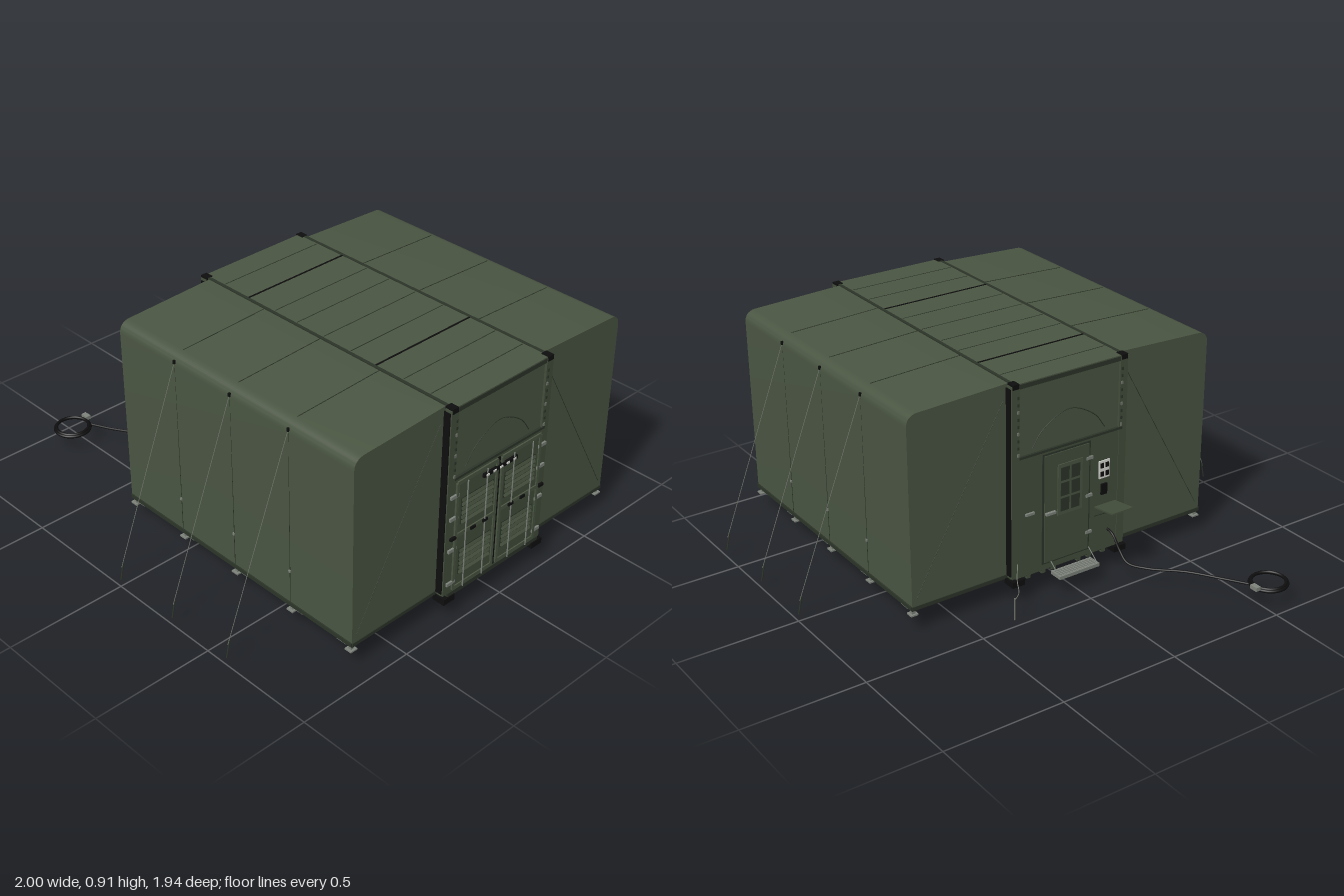
import * as THREE from 'three';
import { toCreasedNormals } from 'three/addons/utils/BufferGeometryUtils.js';

const mat = (name, color, side = THREE.FrontSide) => {
  const m = new THREE.MeshStandardMaterial({ color, side });
  m.name = name;
  return m;
};

export function createModel() {
  const root = new THREE.Group();
  root.name = 'expandableShelter';
  const green = mat('canvas green', 0x4a5542, THREE.DoubleSide);
  const panel = mat('panel green', 0x424d3b);
  const trim = mat('dark green trim', 0x2c3428);
  const under = mat('floor dark', 0x282c25);
  const black = mat('black', 0x0d0e0d);
  const grey = mat('metal grey', 0x7d827a);
  const rope = mat('rope grey', 0x6c7166);
  const white = mat('white', 0xd8dad4);

  const group = (name, parent = root) => {
    const g = new THREE.Group();
    g.name = name;
    parent.add(g);
    return g;
  };
  const add = (parent, name, geo, m) => {
    const mesh = new THREE.Mesh(geo, m);
    mesh.name = name;
    parent.add(mesh);
    return mesh;
  };
  const box = (parent, name, m, w, h, d, x, y, z) => {
    const b = add(parent, name, new THREE.BoxGeometry(w, h, d), m);
    b.position.set(x, y, z);
    return b;
  };
  const V = (x, y, z) => new THREE.Vector3(x, y, z);
  // thin rod between two points
  const rod = (parent, name, m, a, b, r = 0.0016, sides = 6) => {
    const c = add(parent, name, new THREE.CylinderGeometry(r, r, a.distanceTo(b), sides), m);
    c.position.copy(a).add(b).multiplyScalar(0.5);
    c.quaternion.setFromUnitVectors(V(0, 1, 0), b.clone().sub(a).normalize());
    return c;
  };
  const tube = (parent, name, m, pts, r, seg = 48) =>
    add(parent, name, new THREE.TubeGeometry(new THREE.CatmullRomCurve3(pts), seg, r, 8), m);

  // Central container
  const core = group('container');
  box(core, 'body', green, 0.49, 0.795, 1.27, 0, 0.5, 0.3);
  box(core, 'roof', green, 0.49, 0.012, 1.3, 0, 0.899, 0.3);
  box(core, 'floor', under, 0.5, 0.02, 1.28, 0, 0.096, 0.3);
  for (const z of [-0.1, 0.57]) box(core, 'roofSeam', black, 0.49, 0.003, 0.007, 0, 0.9055, z);
  for (const z of [-0.24, 0.04, 0.16, 0.3, 0.44, 0.7, 0.83])
    box(core, 'roofRib', trim, 0.48, 0.001, 0.003, 0, 0.9055, z);
  for (const s of [-1, 1]) {
    box(core, 'roofRail', trim, 0.012, 0.02, 1.3, s * 0.252, 0.897, 0.3);
    box(core, 'floorRail', trim, 0.03, 0.03, 1.28, s * 0.25, 0.1, 0.3);
    for (const x of [0.06, 0.11, 0.18]) box(core, 'skidBeam', panel, 0.018, 0.02, 1.28, s * x, 0.084, 0.3);
    for (const z of [0.03, 0.5]) box(core, 'liftPocket', black, 0.09, 0.012, 0.09, s * 0.22, 0.081, z);
    for (const z of [-0.338, 0.938]) {
      const out = Math.sign(z);
      box(core, 'cornerPost', panel, 0.035, 0.8, 0.03, s * 0.25, 0.5, z);
      box(core, 'postGap', black, 0.005, 0.78, 0.028, s * 0.269, 0.5, z - out * 0.004);
      box(core, 'cornerFoot', black, 0.058, 0.025, 0.055, s * 0.244, 0.082, z);
      box(core, 'topCasting', black, 0.028, 0.02, 0.036, s * 0.25, 0.898, z);
      for (let i = 0; i < 9; i++)
        box(core, 'lashingRing', i % 3 ? trim : rope, 0.008, 0.012, 0.006, s * 0.24, 0.62 + i * 0.029, z + out * 0.016);
    }
  }
  for (let i = 0; i < 11; i++) box(core, 'floorCrossBeam', trim, 0.48, 0.008, 0.014, 0, 0.084, -0.27 + i * 0.115);

  // Expanded side wings
  const profile = new THREE.Shape();
  profile.moveTo(0.245, 0.1);
  profile.lineTo(0.69, 0.1);
  profile.lineTo(0.693, 0.84);
  profile.quadraticCurveTo(0.692, 0.882, 0.65, 0.887);
  profile.lineTo(0.245, 0.903);
  const wingGeo = toCreasedNormals(new THREE.ExtrudeGeometry(profile, { depth: 1.23, bevelEnabled: false, curveSegments: 10 }), 0.6);
  for (const s of [-1, 1]) {
    const wing = group(s > 0 ? 'leftWing' : 'rightWing');
    const shell = add(wing, 'canvasShell', wingGeo, green);
    shell.position.z = -0.315;
    if (s < 0) {
      shell.rotation.y = Math.PI;
      shell.position.z = 0.915;
    }
    box(wing, 'wingFloor', under, 0.44, 0.014, 1.23, s * 0.47, 0.096, 0.3);
    box(wing, 'bottomEdge', trim, 0.006, 0.016, 1.23, s * 0.692, 0.101, 0.3);
    for (const z of [-0.316, 0.916]) {
      box(wing, 'endEdge', trim, 0.42, 0.014, 0.005, s * 0.48, 0.101, z);
      rod(wing, 'diagonalSeam', trim, V(s * 0.28, 0.84, z), V(s * 0.67, 0.14, z), 0.0011);
    }
    // strap lines, guy ropes and stakes
    for (const z of [0, 0.3, 0.6]) {
      rod(wing, 'roofStrap', trim, V(s * 0.26, 0.903, z), V(s * 0.65, 0.8875, z), 0.0016);
      rod(wing, 'wallStrap', trim, V(s * 0.692, 0.84, z), V(s * 0.691, 0.11, z), 0.0012);
      box(wing, 'ropeRing', black, 0.008, 0.014, 0.008, s * 0.694, 0.855, z);
      box(wing, 'wallEyelet', grey, 0.006, 0.01, 0.008, s * 0.693, 0.25, z);
      rod(wing, 'guyRope', rope, V(s * 0.693, 0.855, z), V(s * 0.99, 0.085, z), 0.0014);
      rod(wing, 'stake', trim, V(s * 0.982, 0.1, z), V(s * 0.997, 0.03, z), 0.003);
    }
    // support jacks under the outer edge
    for (const z of [-0.3, 0, 0.3, 0.6, 0.9]) {
      box(wing, 'jackPost', grey, 0.014, 0.03, 0.014, s * 0.68, 0.085, z);
      box(wing, 'jackPad', grey, 0.032, 0.006, 0.032, s * 0.68, 0.07, z);
      box(wing, 'edgeBracket', grey, 0.012, 0.012, 0.045, s * 0.685, 0.092, z > 0.8 ? z - 0.04 : z + 0.04);
    }
    for (let i = 0; i < 7; i++) {
      box(wing, 'floorSeam', black, 0.43, 0.002, 0.004, s * 0.47, 0.0885, -0.22 + i * 0.175);
      box(wing, 'floorLatch', black, 0.035, 0.003, 0.022, s * (i % 2 ? 0.38 : 0.56), 0.088, -0.2 + i * 0.17);
    }
  }

  // Upper canvas panels on both ends
  for (const [z, out] of [[0.939, 1], [-0.339, -1]]) {
    const end = group(out > 0 ? 'frontUpperPanel' : 'backUpperPanel');
    box(end, 'canvas', green, 0.465, 0.29, 0.008, 0, 0.745, z);
    box(end, 'headRail', trim, 0.47, 0.018, 0.025, 0, 0.892, z);
    box(end, 'sillRail', trim, 0.5, 0.01, 0.028, 0, 0.603, z);
    const zf = z + out * 0.004;
    tube(end, 'canvasFold', trim, [V(-0.17, 0.625, zf), V(-0.12, 0.69, zf), V(0, 0.745, zf), V(0.12, 0.69, zf), V(0.17, 0.625, zf)], 0.0018, 24);
  }

  // Front cargo doors
  const doors = group('frontDoors');
  box(doors, 'doorBacking', panel, 0.5, 0.51, 0.02, 0, 0.35, 0.942);
  box(doors, 'doorGap', black, 0.012, 0.48, 0.004, 0, 0.35, 0.954);
  box(doors, 'sill', trim, 0.5, 0.018, 0.026, 0, 0.1, 0.948);
  box(doors, 'lampBar', black, 0.18, 0.016, 0.012, 0, 0.555, 0.96);
  for (let i = 0; i < 5; i++) box(doors, 'lamp', white, 0.015, 0.008, 0.004, -0.072 + i * 0.036, 0.555, 0.967);
  for (const s of [-1, 1]) {
    const door = group(s > 0 ? 'leftDoor' : 'rightDoor', doors);
    box(door, 'leaf', panel, 0.215, 0.47, 0.008, s * 0.118, 0.35, 0.953);
    for (const y of [0.12, 0.355, 0.585]) box(door, 'crossRail', green, 0.21, 0.016, 0.006, s * 0.118, y, 0.959);
    for (const x of [0.014, 0.222]) box(door, 'sideRail', green, 0.012, 0.47, 0.006, s * x, 0.35, 0.959);
    for (const y of [0.455, 0.23]) {
      box(door, 'ventOpening', trim, 0.17, 0.115, 0.004, s * 0.115, y, 0.958);
      for (let i = 0; i < 6; i++) {
        const slat = box(door, 'ventSlat', i % 2 ? panel : green, 0.165, 0.013, 0.004, s * 0.115, y - 0.047 + i * 0.019, 0.961);
        slat.rotation.x = -0.5;
      }
    }
    for (const x of [0.072, 0.175]) rod(door, 'lockRod', grey, V(s * x, 0.11, 0.965), V(s * x, 0.58, 0.965), 0.0028);
    for (const x of [0.07, 0.135, 0.24]) box(door, 'latch', black, 0.026, 0.011, 0.01, s * x, 0.355, 0.963);
    for (const y of [0.535, 0.44, 0.3, 0.15]) box(door, 'hinge', grey, 0.042, 0.013, 0.008, s * 0.235, y, 0.958);
  }

  // Back wall with personnel door, services and shelf
  const back = group('backWall');
  box(back, 'wall', panel, 0.5, 0.51, 0.016, 0, 0.35, -0.342);
  box(back, 'doorFrame', trim, 0.225, 0.47, 0.004, 0.015, 0.355, -0.351);
  box(back, 'door', panel, 0.208, 0.455, 0.008, 0.015, 0.355, -0.353);
  box(back, 'windowFrame', green, 0.115, 0.215, 0.006, 0.003, 0.425, -0.358);
  for (const x of [-0.022, 0.028])
    for (const y of [0.36, 0.425, 0.49]) box(back, 'windowPane', trim, 0.04, 0.055, 0.003, x, y, -0.361);
  for (const y of [0.2, 0.36, 0.52]) box(back, 'doorHinge', grey, 0.03, 0.012, 0.008, -0.09, y, -0.357);
  box(back, 'doorHandle', grey, 0.045, 0.01, 0.014, 0.095, 0.34, -0.362);
  box(back, 'wallLatch', grey, 0.04, 0.01, 0.008, 0.185, 0.36, -0.354);
  box(back, 'servicePanel', white, 0.05, 0.075, 0.005, -0.165, 0.45, -0.3525);
  for (const x of [-0.177, -0.153])
    for (const y of [0.432, 0.468]) box(back, 'serviceSocket', black, 0.015, 0.02, 0.004, x, y, -0.356);
  box(back, 'outlet', black, 0.028, 0.045, 0.008, -0.165, 0.365, -0.354);
  const shelf = box(back, 'shelf', panel, 0.1, 0.006, 0.115, -0.17, 0.305, -0.412);
  shelf.rotation.x = 0.15;
  for (const x of [-0.215, -0.125]) rod(back, 'shelfStay', trim, V(x, 0.255, -0.35), V(x, 0.307, -0.43), 0.002);

  // Entry step
  const step = group('entryStep');
  for (const z of [-0.418, -0.365]) box(step, 'stepRail', grey, 0.19, 0.014, 0.006, -0.005, 0.08, z);
  for (const x of [-0.097, 0.087]) {
    box(step, 'stepSide', grey, 0.006, 0.014, 0.06, x, 0.08, -0.39);
    rod(step, 'stepHanger', grey, V(x, 0.08, -0.415), V(x, 0.13, -0.35), 0.002);
  }
  for (let i = 0; i < 5; i++) box(step, 'stepTread', grey, 0.185, 0.005, 0.007, -0.005, 0.084, -0.41 + i * 0.01);

  // Power cable with coil and plug
  const power = group('powerCable');
  tube(power, 'cable', black, [
    V(-0.19, 0.18, -0.345), V(-0.19, 0.17, -0.385), V(-0.195, 0.115, -0.425), V(-0.2, 0.077, -0.47),
    V(-0.24, 0.072, -0.54), V(-0.35, 0.072, -0.65), V(-0.43, 0.072, -0.77), V(-0.48, 0.076, -0.86)], 0.005, 64);
  for (const [r, y] of [[0.073, 0.077], [0.067, 0.083]]) {
    const coil = add(power, 'coil', new THREE.TorusGeometry(r, 0.0065, 8, 48), black);
    coil.rotation.x = Math.PI / 2;
    coil.position.set(-0.55, y, -0.895);
  }
  box(power, 'plug', grey, 0.022, 0.016, 0.035, -0.468, 0.088, -0.91);

  // Grounding wire and rod
  const ground = group('groundRod');
  tube(ground, 'wire', rope, [V(0.235, 0.17, -0.345), V(0.27, 0.12, -0.39), V(0.29, 0.09, -0.43), V(0.33, 0.085, -0.46)], 0.0018, 20);
  rod(ground, 'rod', rope, V(0.33, 0, -0.46), V(0.33, 0.095, -0.46), 0.0026);

  return root;
}
